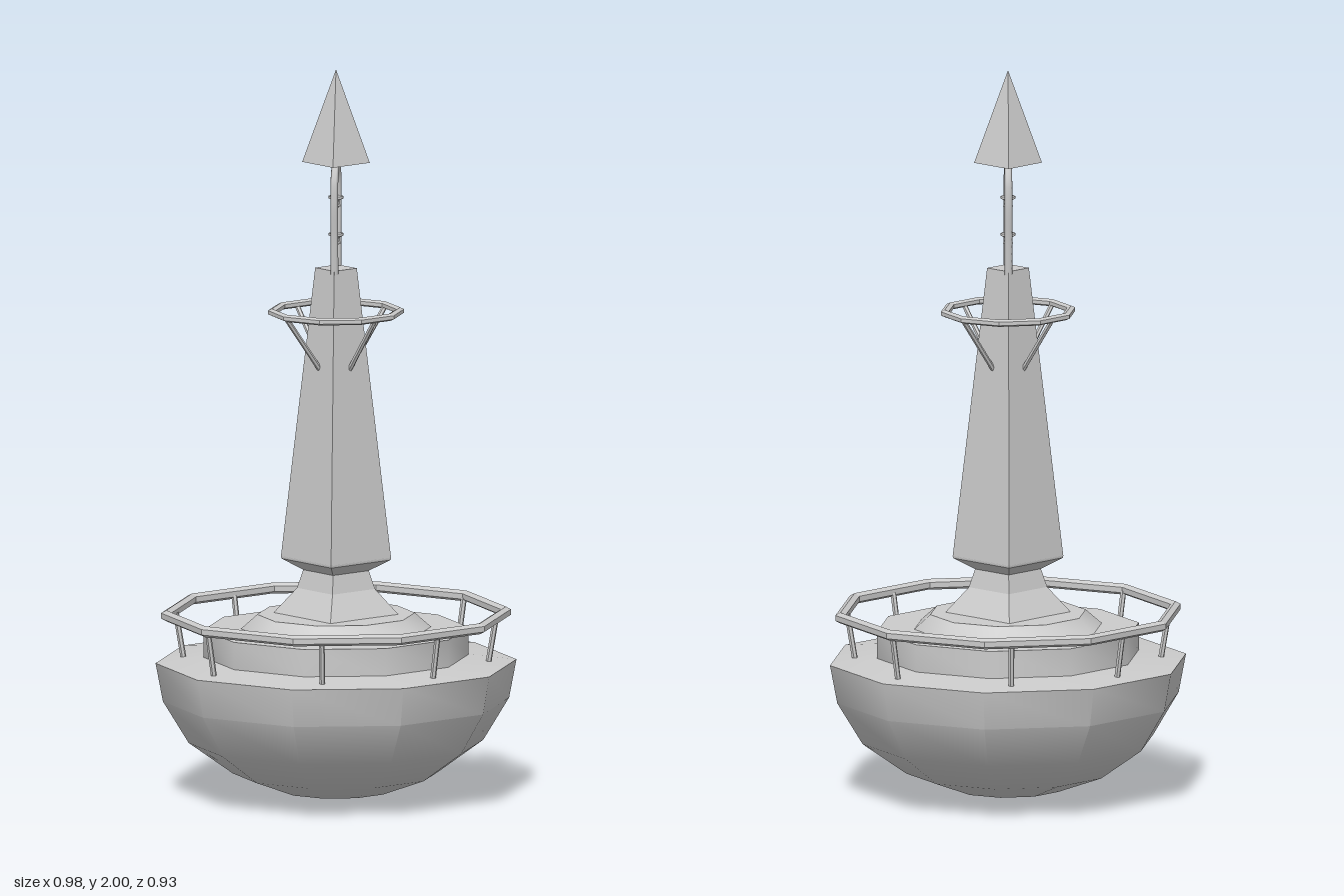
import * as THREE from 'three';
import { toCreasedNormals } from 'three/addons/utils/BufferGeometryUtils.js';

const SIDES = 10;
const smooth = new THREE.MeshStandardMaterial({ color: 0xcccccc });
const flat = new THREE.MeshStandardMaterial({ color: 0xcccccc, flatShading: true });

const toPoints = (list) => list.map(([x, y]) => new THREE.Vector2(x, y));

function mesh(name, geometry, material = smooth) {
  const m = new THREE.Mesh(geometry, material);
  m.name = name;
  return m;
}

// Ten-sided turned body with a corner on the x axis
function decagonBody(name, profile) {
  const g = new THREE.LatheGeometry(toPoints(profile), SIDES, Math.PI / 2);
  return mesh(name, toCreasedNormals(g, 0.64));
}

// Square body; profile holds [half width, y]
function squareBody(name, profile) {
  const pts = toPoints(profile.map(([w, y]) => [w * Math.SQRT2, y]));
  return mesh(name, new THREE.LatheGeometry(pts, 4, Math.PI / 4), flat);
}

// Ten-sided rail with a hexagonal section
function railRing(name, radius, y, halfWidth, halfHeight) {
  const section = [];
  for (let i = 0; i <= 6; i++) {
    const a = (i / 6) * Math.PI * 2 + Math.PI / 6;
    section.push([radius + (halfWidth * Math.cos(a)) / 0.866, y + halfHeight * Math.sin(a)]);
  }
  const g = new THREE.LatheGeometry(toPoints(section), SIDES, Math.PI / 2);
  return mesh(name, g, flat);
}

// Straight bar between two points
function bar(name, a, b, radius) {
  const dir = b.clone().sub(a);
  const m = mesh(name, new THREE.CylinderGeometry(radius, radius, dir.length(), 6), flat);
  m.position.copy(a).add(b).multiplyScalar(0.5);
  m.quaternion.setFromUnitVectors(new THREE.Vector3(0, 1, 0), dir.normalize());
  return m;
}

// Point at an angle on a decagon with the given corner radius
function onDecagon(cornerRadius, angle, y) {
  const step = (Math.PI * 2) / SIDES;
  const local = (((angle % step) + step) % step) - step / 2;
  const r = (cornerRadius * Math.cos(step / 2)) / Math.cos(local);
  return new THREE.Vector3(r * Math.cos(angle), y, r * Math.sin(angle));
}

export function createModel() {
  const model = new THREE.Group();
  model.name = 'buoy';

  // Floating hull with stepped deck
  model.add(decagonBody('hull', [
    [0, 0], [0.15, 0.022], [0.28, 0.07], [0.4, 0.155], [0.47, 0.27], [0.49, 0.375],
    [0.36, 0.39], [0.36, 0.465], [0.258, 0.467], [0.214, 0.506], [0, 0.507],
  ]));

  // Deck railing
  const deckRail = new THREE.Group();
  deckRail.name = 'deckRailing';
  deckRail.add(railRing('deckHandrail', 0.461, 0.505, 0.014, 0.015));
  for (let i = 0; i < 8; i++) {
    const a = (i / 8) * Math.PI * 2;
    deckRail.add(bar('deckRailPost', onDecagon(0.43, a, 0.375), onDecagon(0.452, a, 0.502), 0.008));
  }
  model.add(deckRail);

  // Flared pedestal and tapering tower
  model.add(squareBody('pedestal', [
    [0.12, 0.506], [0.075, 0.575], [0.063, 0.625], [0.105, 0.655], [0.106, 0.662],
  ]));
  model.add(squareBody('tower', [[0.106, 0.66], [0.04, 1.455], [0, 1.455]]));

  // Upper ring and its four slanted brackets
  const upperRail = new THREE.Group();
  upperRail.name = 'upperRailing';
  upperRail.add(railRing('upperRing', 0.174, 1.335, 0.011, 0.01));
  for (let i = 0; i < 4; i++) {
    const a = (i / 4) * Math.PI * 2;
    upperRail.add(bar('ringBracket', new THREE.Vector3(0.055 * Math.cos(a), 1.18, 0.055 * Math.sin(a)),
      onDecagon(0.172, a, 1.33), 0.007));
  }
  model.add(upperRail);

  // Lantern arch, set across the diagonal of the tower
  const lantern = new THREE.Group();
  lantern.name = 'lantern';
  const half = [[0.047, 1.445], [0.051, 1.54], [0.056, 1.65], [0.044, 1.71]];
  const path = [...half, [0, 1.742], ...half.slice().reverse().map(([x, y]) => [-x, y])];
  const curve = new THREE.CatmullRomCurve3(path.map(([x, y]) => new THREE.Vector3(x, y, 0)));
  lantern.add(mesh('lanternArch', new THREE.TubeGeometry(curve, 32, 0.0105, 6)));

  // Two rungs, each carrying a small lamp
  for (const y of [1.518, 1.62]) {
    lantern.add(bar('lampRung', new THREE.Vector3(-0.054, y, 0), new THREE.Vector3(0.054, y, 0), 0.006));
    const lamp = new THREE.LatheGeometry(toPoints([
      [0, 0], [0.014, 0.003], [0.009, 0.012], [0.01, 0.019], [0.02, 0.024], [0.02, 0.031], [0, 0.034],
    ]), 8);
    const lampMesh = mesh('lamp', toCreasedNormals(lamp, 0.8));
    lampMesh.position.y = y + 0.002;
    lantern.add(lampMesh);
  }
  lantern.rotation.y = Math.PI / 4;
  model.add(lantern);

  // Pyramid topmark
  model.add(squareBody('topmark', [[0, 1.743], [0.065, 1.745], [0, 2]]));

  return model;
}
